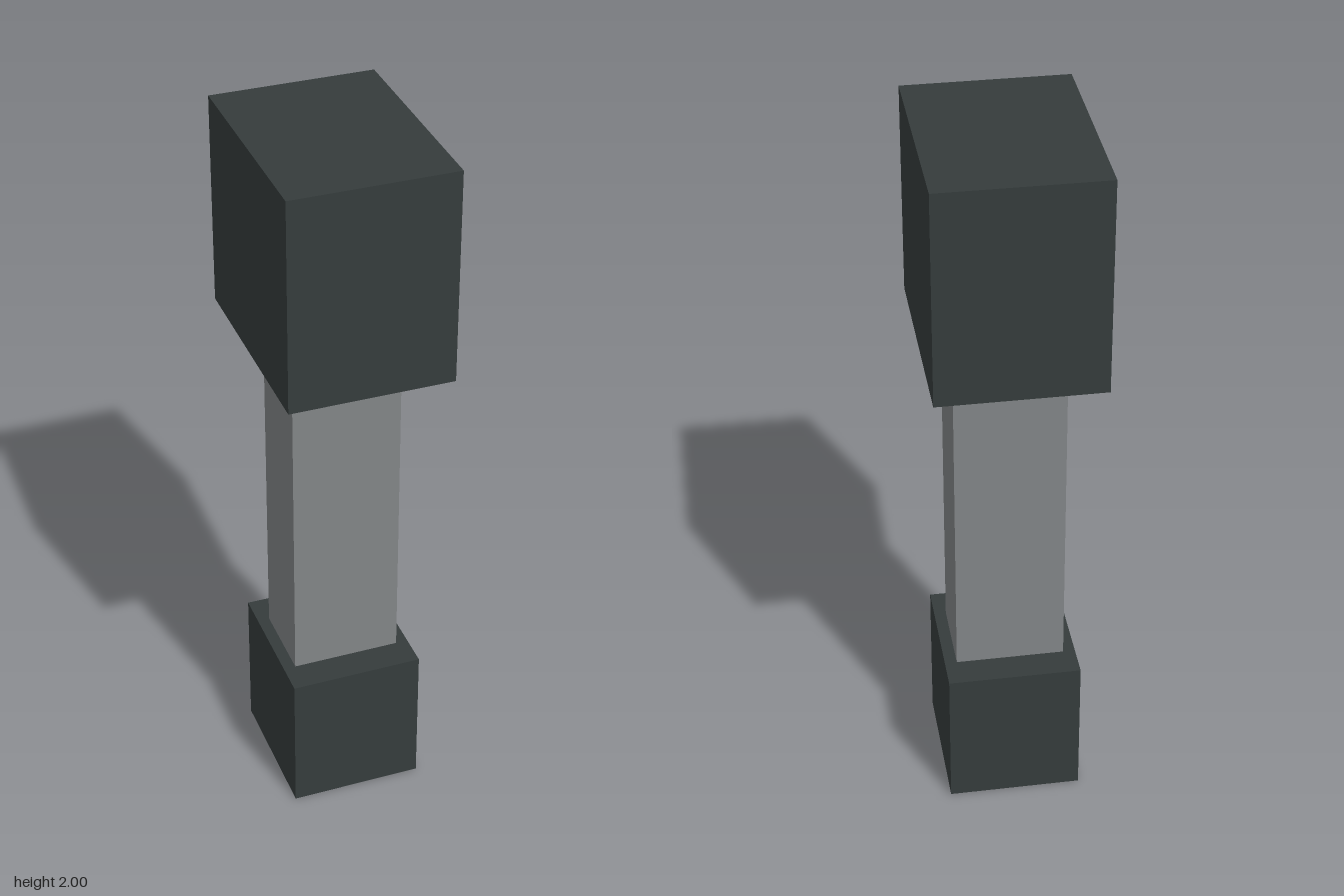
import * as THREE from 'three';

export function createModel() {
  const model = new THREE.Group();
  model.name = 'blockMallet';

  const darkSlate = new THREE.MeshStandardMaterial({ color: 0x353c3c });
  darkSlate.name = 'darkSlate';
  const steelGrey = new THREE.MeshStandardMaterial({ color: 0x828587 });
  steelGrey.name = 'steelGrey';

  // Adds a box of the given width and depth between two heights
  function addBlock(name, width, depth, bottom, top, material) {
    const mesh = new THREE.Mesh(new THREE.BoxGeometry(width, top - bottom, depth), material);
    mesh.name = name;
    mesh.position.y = (bottom + top) / 2;
    model.add(mesh);
    return mesh;
  }

  // Lower block, slim shaft and large upper block
  addBlock('lowerBlock', 0.373, 0.41, 0, 0.415, darkSlate);
  addBlock('shaft', 0.305, 0.23, 0.415, 1.4, steelGrey);
  addBlock('upperBlock', 0.453, 0.604, 1.4, 2, darkSlate);

  return model;
}
